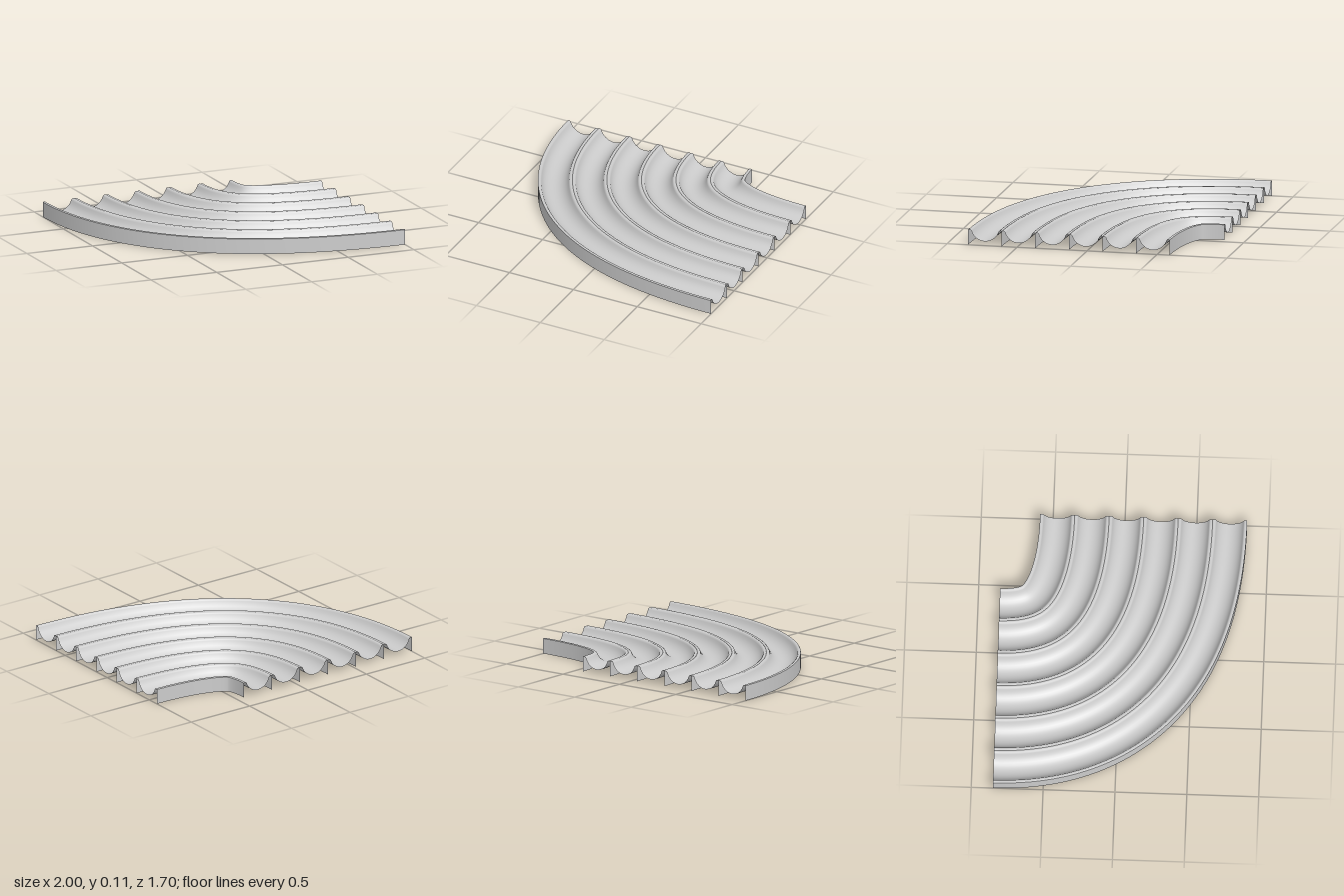
import * as THREE from 'three';

const CHANNELS = 6, PITCH = 0.24, TOP = 0.11, STEPS = 56;
const HALF = CHANNELS * PITCH / 2;

// Centre line of the bend in plan, as (x, z)
const path = new THREE.QuadraticBezierCurve(
  new THREE.Vector2(-0.28, -0.85),
  new THREE.Vector2(-0.28, 0.13),
  new THREE.Vector2(1, 0.13)
);

// Sweep a profile of [inward offset, height] points along the bend
function sweep(profile) {
  const pos = [], index = [], n = profile.length;
  for (let i = 0; i <= STEPS; i++) {
    const p = path.getPoint(i / STEPS), t = path.getTangent(i / STEPS);
    for (const [d, y] of profile) pos.push(p.x + t.y * d, y, p.y - t.x * d);
  }
  for (let i = 0; i < STEPS; i++) {
    for (let j = 0; j < n - 1; j++) {
      const a = i * n + j, b = a + n;
      index.push(a, b, a + 1, b, b + 1, a + 1);
    }
  }
  const g = new THREE.BufferGeometry();
  g.setAttribute('position', new THREE.Float32BufferAttribute(pos, 3));
  g.setIndex(index);
  g.computeVertexNormals();
  return g;
}

// One trough: flat lip, rounded shoulder, circular scoop, mirrored
function troughProfile() {
  const pts = [[0, TOP - 0.003], [0.004, TOP], [0.015, TOP], [0.022, 0.105]];
  const half = PITCH / 2, r = 0.1, start = 0.34, arcSteps = 14;
  for (let k = 0; k <= arcSteps; k++) {
    const a = start + (Math.PI - 2 * start) * k / arcSteps;
    pts.push([half - r * Math.cos(a), 0.13 - r * Math.sin(a)]);
  }
  for (let k = 3; k >= 0; k--) pts.push([PITCH - pts[k][0], pts[k][1]]);
  return pts;
}

export function createModel() {
  const group = new THREE.Group();
  group.name = 'curvedTroughTray';
  const material = new THREE.MeshStandardMaterial({ color: 0xcccccc, side: THREE.DoubleSide });
  const add = (name, profile) => {
    const mesh = new THREE.Mesh(sweep(profile), material);
    mesh.name = name;
    group.add(mesh);
  };

  // Troughs, from the outside of the bend inwards
  const trough = troughProfile();
  for (let i = 0; i < CHANNELS; i++) {
    const offset = i * PITCH - HALF;
    add('trough' + (i + 1), trough.map(([d, y]) => [d + offset, y]));
  }

  // Upright walls under every ridge and along both edges
  for (let i = 0; i <= CHANNELS; i++) {
    const d = i * PITCH - HALF;
    const wall = [[d, 0], [d, TOP - 0.003]];
    add('wall' + (i + 1), i === CHANNELS ? wall.reverse() : wall);
  }
  return group;
}
